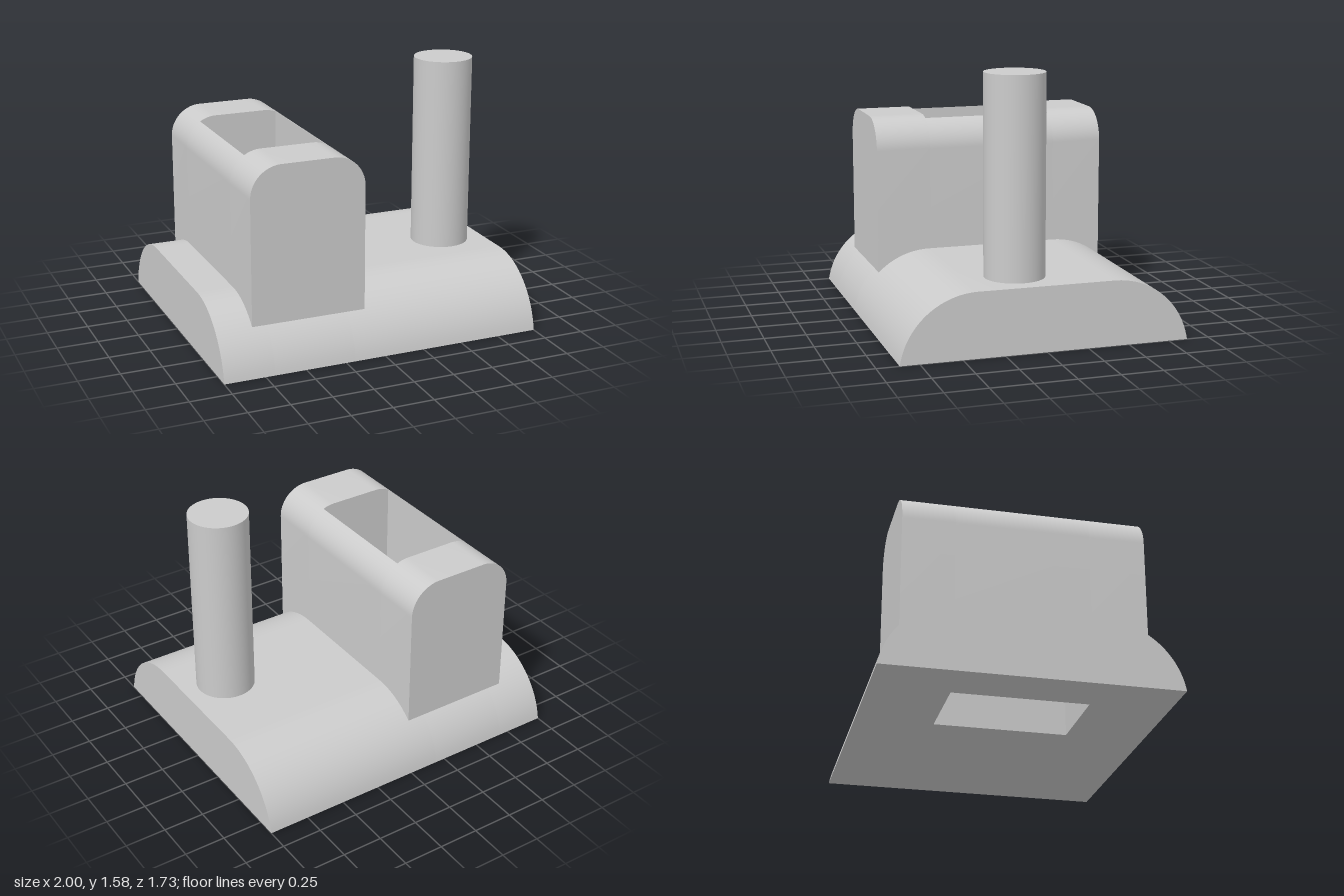
import * as THREE from 'three';
import { toCreasedNormals } from 'three/addons/utils/BufferGeometryUtils.js';

const material = new THREE.MeshStandardMaterial({ color: 0xcccccc });

// Shaft running vertically through the block and the base
const HOLE = { x0: -0.69, x1: -0.19, z0: -0.405, z1: 0.395 };

// Rounded-shoulder profile: flat top, then an arc falling away on both sides
function roundedProfile(centre, half, flat, top, radius) {
  const height = (u) => {
    const d = Math.max(0, Math.abs(u - centre) - flat);
    return top - radius + Math.sqrt(Math.max(0, radius * radius - d * d));
  };
  const steps = [];
  const end = Math.asin(Math.min(1, (half - flat) / radius));
  for (let i = 0; i <= 20; i++) steps.push(flat + radius * Math.sin((end * i) / 20));
  const samples = [...steps.map((s) => centre - s).reverse(), ...steps.map((s) => centre + s)];
  return { height, samples, min: centre - half, max: centre + half };
}

// Extrudes the stretch a..b of a profile from depth d0 to d1
function slab(profile, a, b, bottom, d0, d1) {
  const inner = profile.samples.filter((u) => u > a + 1e-4 && u < b - 1e-4);
  const points = [a, ...inner, b].map((u) => new THREE.Vector2(u, Math.max(bottom, profile.height(u))));
  points.push(new THREE.Vector2(b, bottom), new THREE.Vector2(a, bottom));
  const clean = points.filter((p, i) => i === 0 || p.distanceTo(points[i - 1]) > 1e-4);
  const geometry = new THREE.ExtrudeGeometry(new THREE.Shape(clean), {
    depth: d1 - d0, bevelEnabled: false,
  });
  geometry.translate(0, 0, d0);
  return geometry;
}

function addPart(group, name, geometry) {
  const mesh = new THREE.Mesh(toCreasedNormals(geometry, 0.5), material);
  mesh.name = name;
  group.add(mesh);
}

export function createModel() {
  const model = new THREE.Group();
  model.name = 'model';

  // Base: profile across z, extruded along x, in four pieces around the shaft
  const base = new THREE.Group();
  base.name = 'base';
  const bp = roundedProfile(0, 0.866, 0.41, 0.39, 0.461);
  const basePieces = [
    ['baseRight', bp.min, bp.max, -1, HOLE.x0],
    ['baseLeft', bp.min, bp.max, HOLE.x1, 1],
    ['baseFront', bp.min, -HOLE.z1, HOLE.x0, HOLE.x1],
    ['baseBack', -HOLE.z0, bp.max, HOLE.x0, HOLE.x1],
  ];
  for (const [name, a, b, d0, d1] of basePieces) {
    addPart(base, name, slab(bp, a, b, 0, d0, d1).rotateY(Math.PI / 2));
  }

  // Hollow block: profile across x, extruded along z, in four pieces around the shaft
  const block = new THREE.Group();
  block.name = 'hollowBlock';
  const kp = roundedProfile(-0.428, 0.352, 0.162, 1.21, 0.19);
  const zBack = -0.718, zFront = 0.731, bottom = 0.255;
  const blockPieces = [
    ['blockFront', kp.min, kp.max, HOLE.z1, zFront],
    ['blockBack', kp.min, kp.max, zBack, HOLE.z0],
    ['blockRightWall', kp.min, HOLE.x0, HOLE.z0, HOLE.z1],
    ['blockLeftWall', HOLE.x1, kp.max, HOLE.z0, HOLE.z1],
  ];
  for (const [name, a, b, d0, d1] of blockPieces) {
    addPart(block, name, slab(kp, a, b, bottom, d0, d1));
  }

  // Round post, sunk slightly into the base
  const post = new THREE.Mesh(new THREE.CylinderGeometry(0.18, 0.18, 1.28, 64), material);
  post.name = 'post';
  post.position.set(0.724, 0.3 + 0.64, 0.11);

  model.add(base, block, post);
  return model;
}
